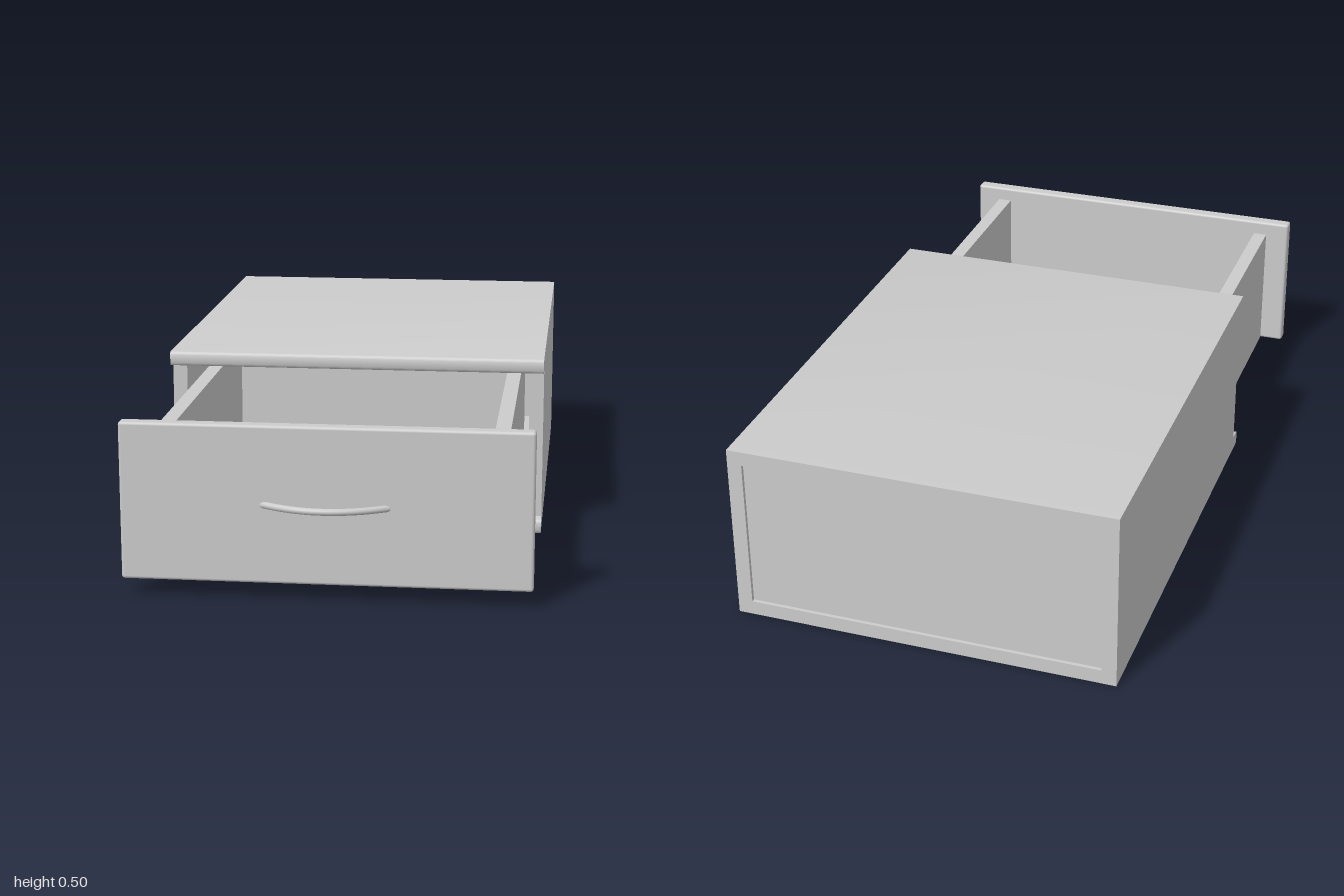
import * as THREE from 'three';
import { RoundedBoxGeometry } from 'three/addons/geometries/RoundedBoxGeometry.js';
import { toCreasedNormals } from 'three/addons/utils/BufferGeometryUtils.js';

const material = new THREE.MeshStandardMaterial({ color: 0xcccccc });

const HALF_W = 0.525;  // half the cabinet width
const T = 0.04;        // board thickness
const H = 0.5;         // cabinet height
const BACK = -1;
const LIP = 0.285;     // front of top and bottom boards
const SIDE_FRONT = 0.245;

function add(parent, name, geometry) {
  const mesh = new THREE.Mesh(geometry, material);
  mesh.name = name;
  parent.add(mesh);
  return mesh;
}

// Box given by its minimum and maximum on each axis
function board(parent, name, [x0, x1], [y0, y1], [z0, z1]) {
  const mesh = add(parent, name, new THREE.BoxGeometry(x1 - x0, y1 - y0, z1 - z0));
  mesh.position.set((x0 + x1) / 2, (y0 + y1) / 2, (z0 + z1) / 2);
  return mesh;
}

// Horizontal board with a softly rounded front edge
function lippedBoard(parent, name, y) {
  const r = 0.008;
  const s = new THREE.Shape();
  s.moveTo(-BACK, 0);
  s.lineTo(-BACK, T);
  s.lineTo(-LIP + r, T);
  s.absarc(-LIP + r, T - r, r, Math.PI / 2, Math.PI, false);
  s.absarc(-LIP + r, r, r, Math.PI, Math.PI * 1.5, false);
  s.closePath();
  const g = new THREE.ExtrudeGeometry(s, { depth: 2 * HALF_W, bevelEnabled: false, curveSegments: 4 });
  g.translate(0, 0, -HALF_W);
  g.rotateY(Math.PI / 2); // profile runs along -z, extrusion along x
  add(parent, name, toCreasedNormals(g, 0.6)).position.y = y;
}

function buildCabinet() {
  const cabinet = new THREE.Group();
  cabinet.name = 'cabinet';
  lippedBoard(cabinet, 'cabinetTop', H - T);
  lippedBoard(cabinet, 'cabinetBottom', 0);
  for (const [side, s] of [['Left', 1], ['Right', -1]]) {
    const x = [s * HALF_W, s * (HALF_W - T)].sort((a, b) => a - b);
    board(cabinet, `cabinetSide${side}`, x, [T, H - T], [BACK, SIDE_FRONT]);
  }
  // Back panel set slightly in from the frame
  board(cabinet, 'cabinetBack', [-HALF_W + T, HALF_W - T], [T, H - T], [BACK + 0.01, BACK + 0.03]);
  return cabinet;
}

function buildDrawer() {
  const drawer = new THREE.Group();
  drawer.name = 'drawer';
  const w = 0.455, y = [0.045, 0.415], back = -0.295, front = 0.907;

  for (const [side, s] of [['Left', 1], ['Right', -1]]) {
    const x = [s * w, s * (w - T)].sort((a, b) => a - b);
    board(drawer, `drawerSide${side}`, x, y, [back, front]);
  }
  board(drawer, 'drawerBack', [-w + T, w - T], y, [back, back + T]);
  board(drawer, 'drawerFloor', [-w + T, w - T], [0.048, 0.065], [back + T, front]);

  // Front panel with rounded edges
  const panel = add(drawer, 'drawerFront', new RoundedBoxGeometry(2 * HALF_W, 0.412, T, 3, 0.008));
  panel.position.set(0, 0.25, 0.925);

  // Bowed pull handle, its ends sunk into the panel
  const bow = new THREE.QuadraticBezierCurve3(
    new THREE.Vector3(-0.165, 0.25, 0.935),
    new THREE.Vector3(0, 0.25, 1.047),
    new THREE.Vector3(0.165, 0.25, 0.935)
  );
  add(drawer, 'handle', new THREE.TubeGeometry(bow, 32, 0.009, 12));
  return drawer;
}

export function createModel() {
  const model = new THREE.Group();
  model.name = 'drawerCabinet';
  model.add(buildCabinet(), buildDrawer());
  return model;
}
